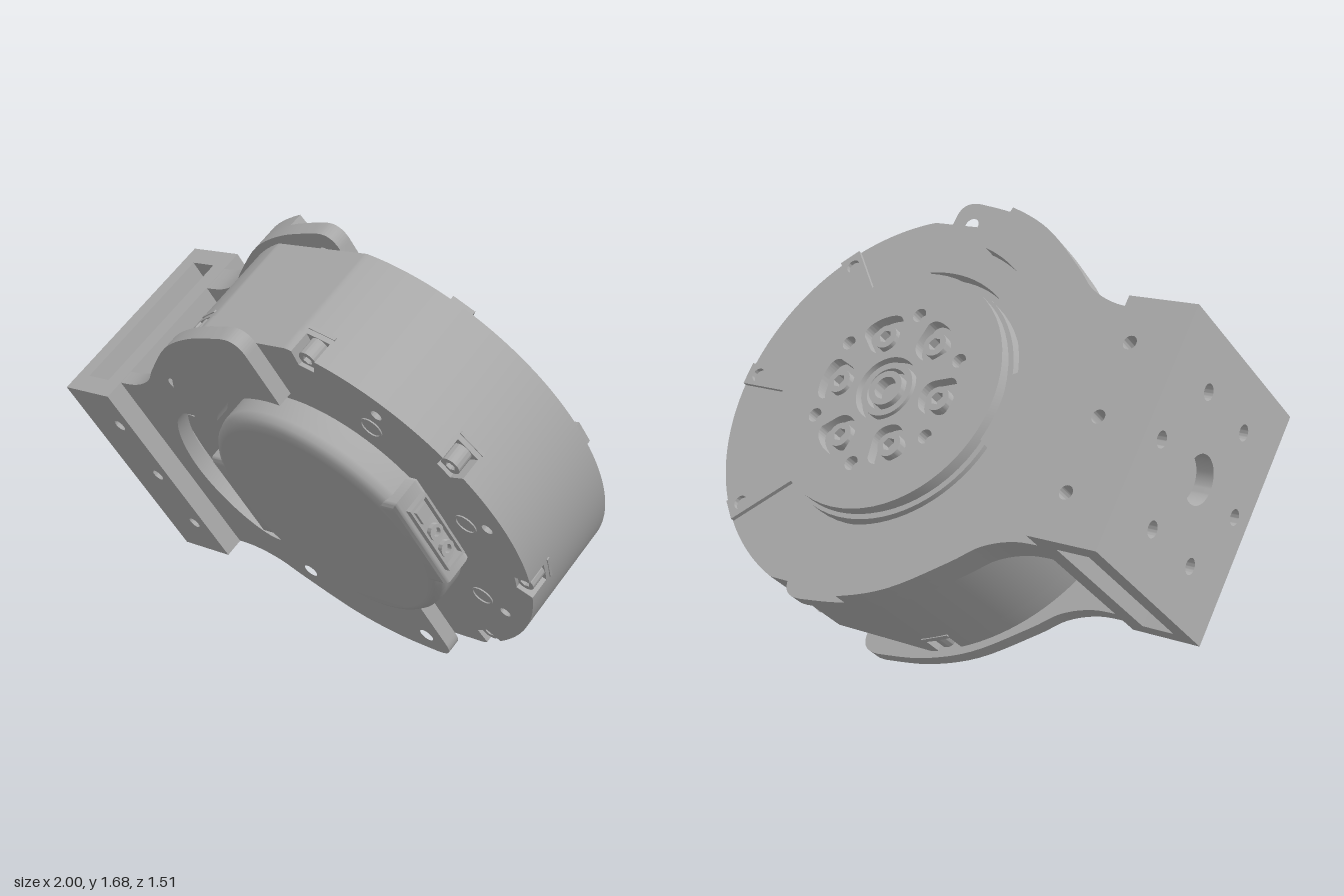
import * as THREE from 'three';
import { toCreasedNormals } from 'three/addons/utils/BufferGeometryUtils.js';

const CX = 0.2;            // motor axis, x
const TILT = 38.2 * Math.PI / 180;
const MID = 0.667;         // mid height before tilting

const metal = new THREE.MeshStandardMaterial({ color: 0xb0b0b0 });
metal.name = 'grey metal';

const rad = d => d * Math.PI / 180;
const polar = (r, deg) => [r * Math.cos(rad(deg)), r * Math.sin(rad(deg))];

function part(parent, name, geometry, x = 0, y = 0, z = 0) {
  const m = new THREE.Mesh(geometry, metal);
  m.name = name;
  m.position.set(x, y, z);
  parent.add(m);
  return m;
}

function slab(parent, name, shape, z0, z1, x = 0, y = 0) {
  const g = new THREE.ExtrudeGeometry(shape, { depth: z1 - z0, bevelEnabled: false, curveSegments: 32 });
  return part(parent, name, toCreasedNormals(g, 0.5), x, y, z0);
}

const box = (parent, name, x0, x1, y0, y1, z0, z1) =>
  part(parent, name, new THREE.BoxGeometry(x1 - x0, y1 - y0, z1 - z0), (x0 + x1) / 2, (y0 + y1) / 2, (z0 + z1) / 2);

function circle(r, x = 0, y = 0) {
  return new THREE.Shape().absarc(x, y, r, 0, Math.PI * 2, false);
}
function hole(shape, r, x, y) {
  shape.holes.push(new THREE.Path().absarc(x, y, r, 0, Math.PI * 2, true));
}
function rect(x0, x1, y0, y1) {
  return new THREE.Shape([[x0, y0], [x1, y0], [x1, y1], [x0, y1]].map(p => new THREE.Vector2(...p)));
}

// Round housing outline with flats at top and bottom, optionally notched for screws
function housingShape(notched) {
  const pts = [];
  for (let i = 0; i < 360; i++) {
    const a = i;
    const off = Math.abs((a % 45) - 22.5);
    const r = notched && off < 3 ? 0.735 : 0.8;
    const [x, y] = polar(r, a);
    pts.push(new THREE.Vector2(x, THREE.MathUtils.clamp(y, -0.765, 0.765)));
  }
  return new THREE.Shape(pts);
}

// Outer edge of one bracket arm, from the box to the tip (x, distance from the middle)
const armEdge = [[-0.95, 0.455], [-0.82, 0.462], [-0.7, 0.505], [-0.6, 0.585], [-0.4, 0.725], [-0.2, 0.8], [0, 0.831]];

// Forked plate: inner(shape) draws the cutout from the upper arm to the lower arm
function forkShape(tip, rounded, inner) {
  const s = new THREE.Shape();
  const v = armEdge.map(p => new THREE.Vector2(...p));
  const up = new THREE.SplineCurve(v).getPoints(30).filter(p => p.x <= tip);
  const low = up.map(p => new THREE.Vector2(p.x, -p.y));
  s.moveTo(low[0].x, low[0].y);
  s.lineTo(up[0].x, up[0].y);
  up.forEach(p => s.lineTo(p.x, p.y));
  if (rounded) {
    s.lineTo(tip - 0.07, 0.831);
    s.quadraticCurveTo(tip, 0.831, tip, 0.76);
  }
  inner(s);
  if (rounded) {
    s.lineTo(tip, -0.76);
    s.quadraticCurveTo(tip, -0.831, tip - 0.07, -0.831);
  }
  low.reverse().forEach(p => s.lineTo(p.x, p.y));
  return s;
}
const onArc = (s, r, from, to, n = 24) => {
  for (let i = 0; i <= n; i++) s.lineTo(...polar(r, from + (to - from) * i / n));
};
function armHoles(s, angles) {
  angles.forEach(a => hole(s, 0.03, ...polar(0.735, a)));
}

// Screw head with a hexagonal socket
function screw(parent, x, y, z0, z1, r) {
  const s = circle(r);
  s.holes.push(new THREE.Path([0, 1, 2, 3, 4, 5].map(i => new THREE.Vector2(...polar(r * 0.55, -60 * i)))));
  slab(parent, 'screw', s, z0, z1, x, y);
}

function buildMotor(g) {
  slab(g, 'housing', housingShape(false), -0.735, -0.36);
  const face = housingShape(true);
  [0, 45, 180, 315].forEach(a => hole(face, 0.022, ...polar(0.71, a)));
  slab(g, 'housingFront', face, -0.36, -0.275);
  for (let i = 0; i < 8; i++) {
    const a = 22.5 + 45 * i;
    const [sx, sy] = polar(0.762, a);
    screw(g, sx, sy, -0.36, -0.29, 0.036);
    // raised mark behind each screw
    const [mx, my] = polar(Math.min(0.797, 0.765 / Math.abs(Math.sin(rad(a)))), a);
    const mark = part(g, 'sideMark', new THREE.BoxGeometry(0.012, 0.11, 0.012), mx, my, -0.385);
    mark.rotation.z = rad(a);
    // radial rib on the back
    const b = 45 * i, rib = rect(0.5, i % 4 === 2 ? 0.763 : 0.796, -0.045, 0.045);
    hole(rib, 0.028, 0.74, 0);
    if (i < 2 || i === 7) slab(g, 'backRib', rib, -0.752, -0.735).rotation.z = rad(b);
  }
  [0, 45, 180, 315].forEach(a => {
    const ring = circle(0.044);
    hole(ring, 0.038, 0, 0);
    slab(g, 'plugRing', ring, -0.276, -0.27, ...polar(0.61, a));
  });

  // Front cover with rounded rim and flat sides
  const cover = [[0.5, -0.28], [0.5, -0.19], [0.493, -0.163], [0.478, -0.145], [0.455, -0.135], [0, -0.135]];
  const lathe = new THREE.LatheGeometry(cover.map(p => new THREE.Vector2(...p)), 72);
  lathe.rotateX(Math.PI / 2);
  part(g, 'cover', lathe);
  const flat = rect(-0.48, 0.48, -0.18, 0.18);
  const fg = new THREE.ExtrudeGeometry(flat, { depth: 0.1, bevelSize: 0.022, bevelThickness: 0.022, bevelSegments: 3 });
  part(g, 'coverSides', toCreasedNormals(fg, 0.6), 0, 0, -0.26);

  // Side connector with two sockets and a small plug
  const frame = rect(-0.15, 0.15, -0.045, 0.045);
  frame.holes.push(new THREE.Path([[-0.14, -0.036], [-0.14, 0.036], [0.14, 0.036], [0.14, -0.036]].map(p => new THREE.Vector2(...p))));
  const c = new THREE.Group();
  c.name = 'connector';
  c.position.set(0.5, 0, -0.215);
  c.rotation.set(Math.PI / 2, Math.PI / 2, 0);
  slab(c, 'connectorFrame', frame, 0, 0.025);
  [-0.085, 0.0].forEach(x => {
    const s = circle(0.03);
    hole(s, 0.016, 0, 0);
    slab(c, 'socket', s, 0, 0.02, x, 0);
  });
  box(c, 'plug', 0.065, 0.12, -0.025, 0.025, 0, 0.018);
  g.add(c);
}

function buildOutput(g) {
  slab(g, 'outputBase', circle(0.5), -0.79, -0.73);
  slab(g, 'outputGroove', circle(0.478), -0.805, -0.79);
  const top = circle(0.487);
  hole(top, 0.13, 0, 0);
  for (let i = 0; i < 6; i++) {
    // rounded pocket, wider outwards
    const a = 60 * i, p = new THREE.Path();
    const q = (x, y) => [x * Math.cos(rad(a)) - y * Math.sin(rad(a)), x * Math.sin(rad(a)) + y * Math.cos(rad(a))];
    p.moveTo(...q(0.165, 0));
    p.quadraticCurveTo(...q(0.165, -0.05), ...q(0.21, -0.065));
    p.lineTo(...q(0.27, -0.085));
    p.quadraticCurveTo(...q(0.315, -0.085), ...q(0.318, 0));
    p.quadraticCurveTo(...q(0.315, 0.085), ...q(0.27, 0.085));
    p.lineTo(...q(0.21, 0.065));
    p.quadraticCurveTo(...q(0.165, 0.05), ...q(0.165, 0));
    top.holes.push(p);
    hole(top, 0.028, ...polar(0.31, a + 30));
    screw(g, ...polar(0.24, a), -0.842, -0.8, 0.048);
  }
  slab(g, 'outputDisc', top, -0.85, -0.805);
  [[0.11, 0.085, -0.845], [0.07, 0.045, -0.855]].forEach(([r, ri, z]) => {
    const s = circle(r);
    hole(s, ri, 0, 0);
    slab(g, 'hubRing', s, z, -0.8);
  });
}

function buildBracket(g) {
  // Front fork, opening round the cover with a slot towards the box
  const front = forkShape(0.09, true, s => {
    s.lineTo(0.09, 0.53);
    onArc(s, 0.538, 80.4, 139);
    s.lineTo(-0.6, 0.353);
    s.bezierCurveTo(-0.71, 0.33, -0.81, 0.16, -0.81, 0);
    s.bezierCurveTo(-0.81, -0.16, -0.71, -0.33, -0.6, -0.353);
    onArc(s, 0.538, 221, 279.6);
  });
  armHoles(front, [90, 135, 225, 270]);
  slab(g, 'frontFork', front, -0.272, -0.212);

  // Back fork: thin layer under a thicker outer layer with a curved recess
  const thin = forkShape(0.09, true, s => onArc(s, 0.525, 80, 280, 50));
  const thick = forkShape(-0.16, false, s => {
    onArc(s, 0.64, 104.5, 163);
    onArc(s, 0.525, 166, 194, 10);
    onArc(s, 0.64, 197, 255.5);
  });
  armHoles(thin, [90, 135, 180, 225, 270]);
  armHoles(thick, [135, 180, 225]);
  slab(g, 'backForkInner', thin, -0.797, -0.74);
  slab(g, 'backForkOuter', thick, -0.852, -0.797);

  // Mounting box, open through its upper and lower sides
  const H = 0.457, x0 = -1.2, x1 = -0.92;
  const wall = rect(-0.401, 0.401, -H, H);
  hole(wall, 0.09, 0, 0);
  for (let i = 0; i < 6; i++) hole(wall, 0.03, ...polar(0.3, 60 * i));
  const end = slab(g, 'boxEndWall', wall, 0, 0.07);
  end.rotation.y = Math.PI / 2;
  end.position.set(x0, 0, -0.535);
  box(g, 'boxInnerWall', x1 - 0.08, x1, -H, H, -0.86, -0.21);
  [[-0.936, -0.86], [-0.21, -0.134]].forEach(([a, b]) => {
    const s = rect(x0 + 0.07, x1, -H, H);
    [-0.283, 0, 0.283].forEach(y => hole(s, 0.026, -1.0, y));
    slab(g, 'boxSideWall', s, a, b);
  });
}

export function createModel() {
  const root = new THREE.Group();
  root.name = 'motorWithBracket';
  const tilted = new THREE.Group();
  tilted.name = 'tiltedAssembly';
  tilted.rotation.x = TILT;
  root.add(tilted);
  [['motor', buildMotor], ['outputFlange', buildOutput], ['bracket', buildBracket]].forEach(([name, build]) => {
    const g = new THREE.Group();
    g.name = name;
    g.position.set(CX, MID, 0);
    build(g);
    tilted.add(g);
  });
  return root;
}
